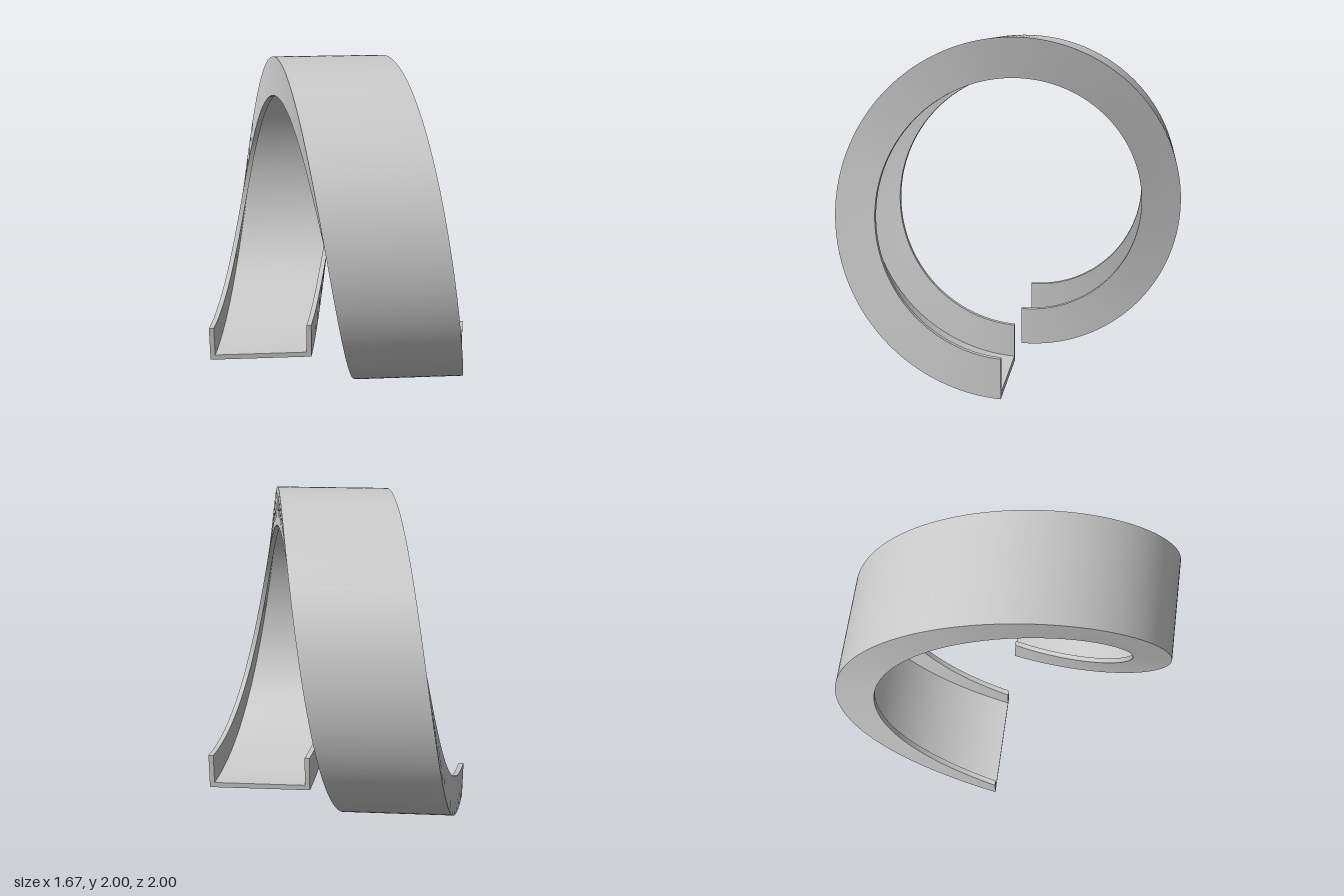
import * as THREE from 'three';

const OUTER = 1, INNER = 0.765, FLOOR = 0.965; // radii
const HALF = 0.333, WALL = 0.032;              // half width, wall thickness
const PITCH = 1, STEPS = 160;

// U-shaped cross-section as [x, radius], open towards the axis
const profile = [
  [-HALF, OUTER], [HALF, OUTER], [HALF, INNER], [HALF - WALL, INNER],
  [HALF - WALL, FLOOR], [-HALF + WALL, FLOOR], [-HALF + WALL, INNER], [-HALF, INNER],
];

// Point of the cross-section after a fraction f of the turn: bottom, back, top, front, bottom
function helixPoint([x, r], f) {
  const a = f * Math.PI * 2;
  return [x + (f - 0.5) * PITCH, OUTER - r * Math.cos(a), -r * Math.sin(a)];
}

// One strip per profile edge, so corners stay sharp and the curve stays smooth
function sweep() {
  const positions = [], index = [];
  profile.forEach((a, k) => {
    const b = profile[(k + 1) % profile.length];
    const start = positions.length / 3;
    for (let i = 0; i <= STEPS; i++) {
      positions.push(...helixPoint(a, i / STEPS), ...helixPoint(b, i / STEPS));
      if (i === STEPS) continue;
      const n = start + i * 2;
      index.push(n, n + 2, n + 1, n + 1, n + 2, n + 3);
    }
  });
  const geometry = new THREE.BufferGeometry();
  geometry.setAttribute('position', new THREE.Float32BufferAttribute(positions, 3));
  geometry.setIndex(index);
  geometry.computeVertexNormals();
  return geometry;
}

export function createModel() {
  const group = new THREE.Group();
  group.name = 'helicalChannel';
  const material = new THREE.MeshStandardMaterial({ color: 0xcccccc });
  const add = (name, geometry) => {
    const mesh = new THREE.Mesh(geometry, material);
    mesh.name = name;
    group.add(mesh);
    return mesh;
  };

  // One full turn of the channel
  add('channelTurn', sweep());

  // Flat cut ends: the first faces the front, the last faces the back
  const section = new THREE.Shape(profile.map(([x, r]) => new THREE.Vector2(x, OUTER - r)));
  add('startCap', new THREE.ShapeGeometry(section)).position.x = -PITCH / 2;
  const endCap = add('endCap', new THREE.ShapeGeometry(section));
  endCap.position.x = PITCH / 2;
  endCap.rotation.y = Math.PI;

  return group;
}
